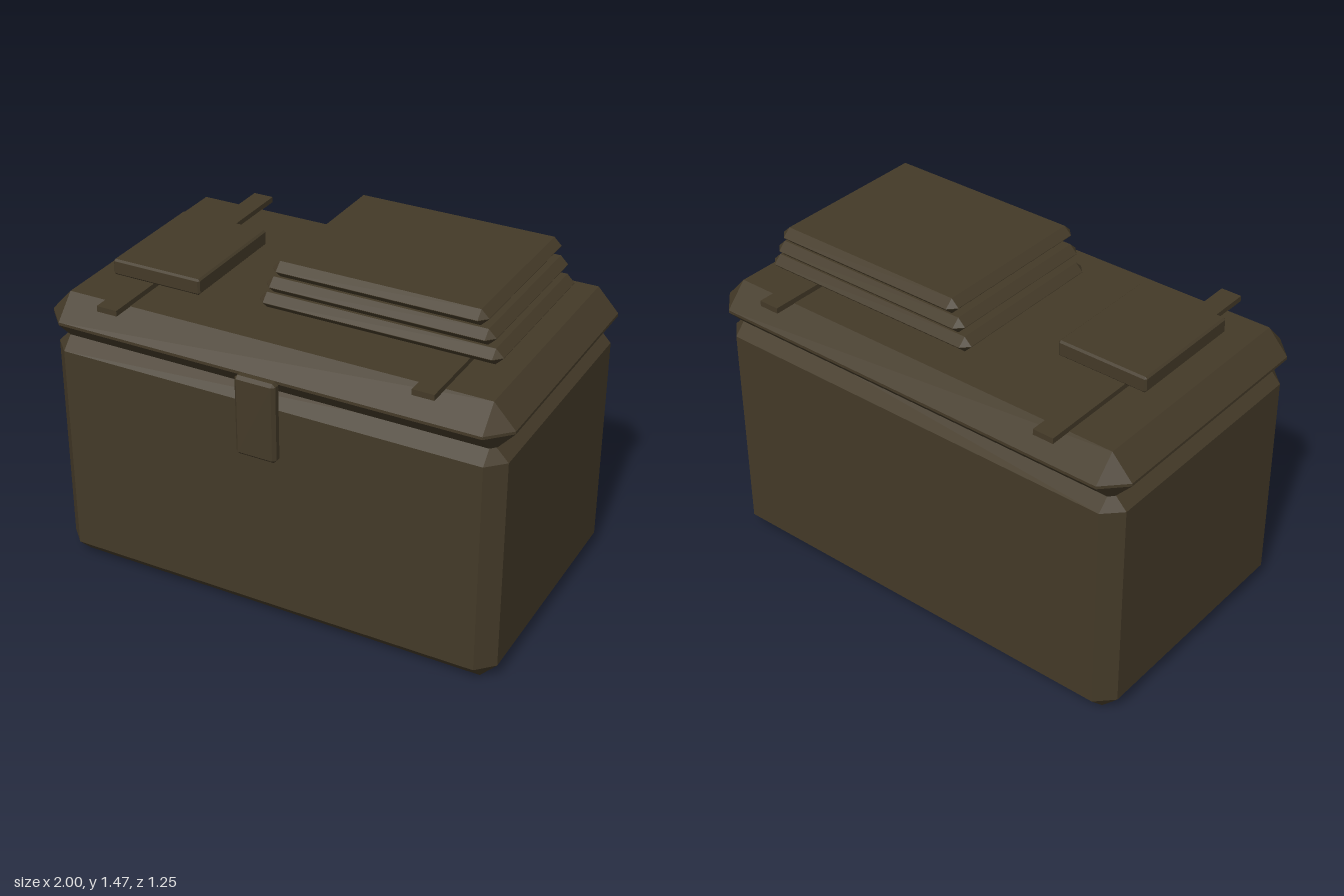
import * as THREE from 'three';
import { ConvexGeometry } from 'three/addons/geometries/ConvexGeometry.js';

const darkOlive = new THREE.MeshStandardMaterial({ color: 0x443a28 });
darkOlive.name = 'darkOlive';

// Box given by its [min, max] extents, with every edge and corner cut flat
function chamferedBox(x, y, z, cut) {
  const ranges = [x, y, z];
  const centre = ranges.map(([a, b]) => (a + b) / 2);
  const half = ranges.map(([a, b]) => (b - a) / 2);
  const points = [];
  for (const sx of [-1, 1]) for (const sy of [-1, 1]) for (const sz of [-1, 1]) {
    const sign = [sx, sy, sz];
    // one point on each of the three faces meeting at this corner
    for (let face = 0; face < 3; face++) {
      const p = half.map((h, i) => centre[i] + sign[i] * (i === face ? h : h - cut[i]));
      points.push(new THREE.Vector3(...p));
    }
  }
  return new ConvexGeometry(points);
}

export function createModel() {
  const model = new THREE.Group();
  model.name = 'coolBox';

  const add = (name, geometry) => {
    const mesh = new THREE.Mesh(geometry, darkOlive);
    mesh.name = name;
    model.add(mesh);
    return mesh;
  };

  // Main container and overhanging lid
  add('body', chamferedBox([-0.98, 0.98], [0, 1.065], [-0.6, 0.56], [0.07, 0.073, 0.07]));
  add('lid', chamferedBox([-1, 1], [1.02, 1.228], [-0.625, 0.58], [0.09, 0.098, 0.093]));

  // Front latch
  add('latch', chamferedBox([-0.088, 0.088], [0.79, 1.135], [0.577, 0.625], [0.013, 0.013, 0.013]));

  // Straps running front to back over the lid
  for (const side of [-1, 1]) {
    const strap = add(side < 0 ? 'rightStrap' : 'leftStrap', new THREE.BoxGeometry(0.09, 0.024, 1.205));
    strap.position.set(side * 0.675, 1.238, -0.0225);
  }

  // Small flat pouch on the right strap
  add('pouch', chamferedBox([-0.815, -0.415], [1.25, 1.318], [-0.202, 0.323], [0.008, 0.008, 0.008]));

  // Stack of folded sheets, each narrower than the one below
  for (let i = 0; i < 3; i++) {
    const y = 1.255 + i * 0.0725;
    add('foldedSheet' + (i + 1), chamferedBox(
      [-0.165 + i * 0.03, 0.855 - i * 0.032], [y, y + 0.065], [-0.437, 0.317], [0.032, 0.0315, 0.034]));
  }

  return model;
}
